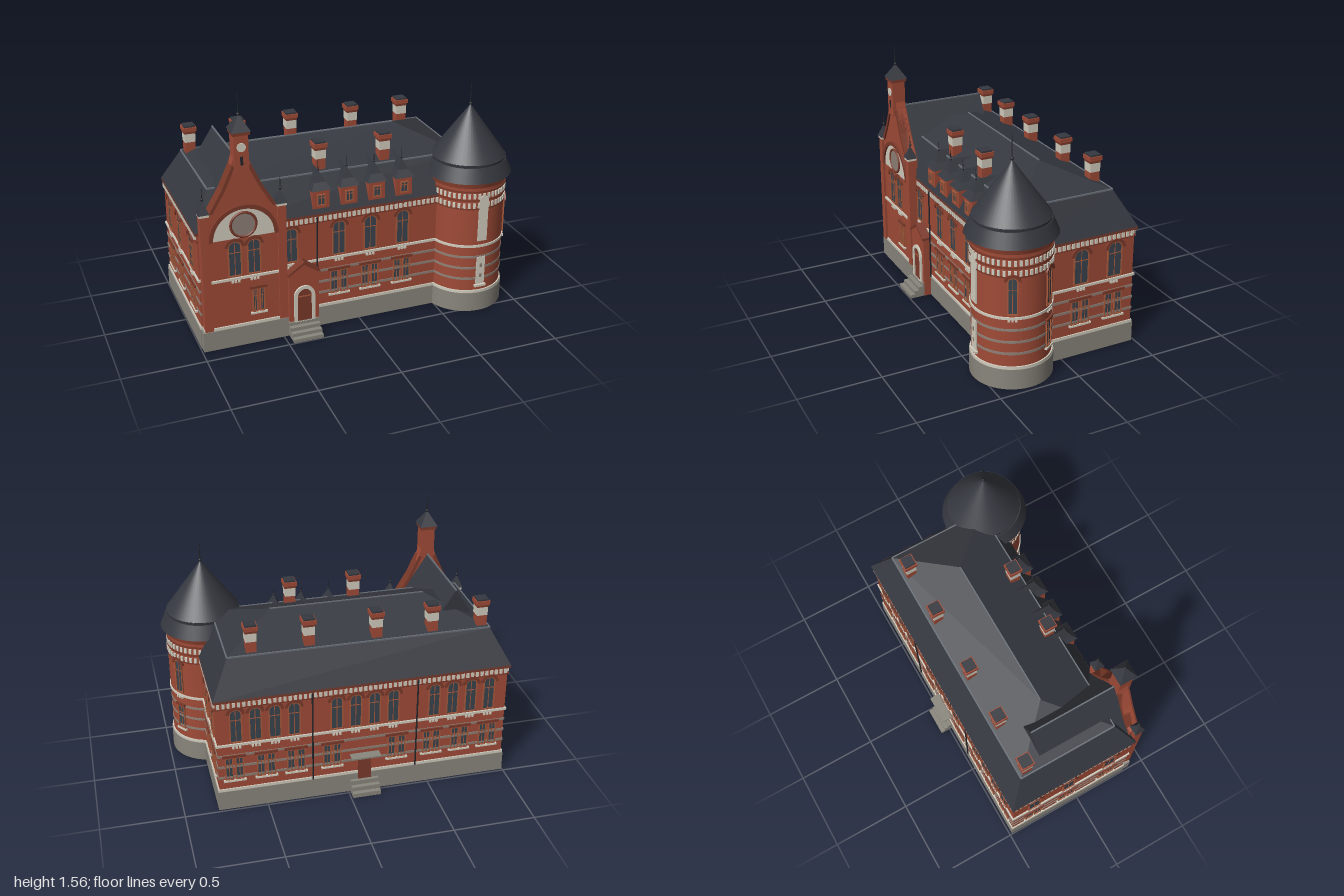
import * as THREE from 'three';
import { mergeGeometries } from 'three/addons/utils/BufferGeometryUtils.js';

const mat = (color, extra = {}) => Object.assign(new THREE.MeshStandardMaterial({ color }), extra);
const BRICK = mat(0xa04b37), DARK = mat(0x7c3a2a), TRIM = mat(0xa85a3c), CREAM = mat(0xd2cdbf);
const STONE = mat(0x8a867d), BAND = mat(0x8f8177), GLASS = mat(0x3a444e), LEAD = mat(0x6a7078);
const ROOF = mat(0x35383f), IRON = mat(0x24262a);
const ROOF_FLAT = mat(0x35383f, { flatShading: true });

function add(parent, name, geometry, material, x = 0, y = 0, z = 0) {
  const m = new THREE.Mesh(geometry, material);
  m.name = name;
  m.position.set(x, y, z);
  parent.add(m);
  return m;
}
function group(parent, name, x = 0, y = 0, z = 0, ry = 0) {
  const g = new THREE.Group();
  g.name = name;
  g.position.set(x, y, z);
  g.rotation.y = ry;
  parent.add(g);
  return g;
}
// box given by its limits on each axis
const box = (parent, name, material, x0, x1, y0, y1, z0, z1) =>
  add(parent, name, new THREE.BoxGeometry(x1 - x0, y1 - y0, z1 - z0), material, (x0 + x1) / 2, (y0 + y1) / 2, (z0 + z1) / 2);
const cyl = (parent, name, material, r0, r1, y0, y1, x = 0, z = 0, n = 48) =>
  add(parent, name, new THREE.CylinderGeometry(r1, r0, y1 - y0, n), material, x, (y0 + y1) / 2, z);
const slab = (parent, name, shape, depth, material, x, y, z) =>
  add(parent, name, new THREE.ExtrudeGeometry(shape, { depth, bevelEnabled: false, curveSegments: 10 }), material, x, y, z);

// hipped roof through rectangles [x0, x1, z0, z1, y]
function hipRoof(parent, name, rings) {
  const pos = [];
  const corners = rings.map(([x0, x1, z0, z1, y]) => [[x0, y, z1], [x1, y, z1], [x1, y, z0], [x0, y, z0]]);
  for (let i = 0; i + 1 < corners.length; i++)
    for (let k = 0; k < 4; k++) {
      const a = corners[i][k], b = corners[i][(k + 1) % 4], c = corners[i + 1][(k + 1) % 4], d = corners[i + 1][k];
      pos.push(...a, ...b, ...c, ...a, ...c, ...d);
    }
  const [p, q, r, s] = corners[0];
  pos.push(...p, ...r, ...q, ...p, ...s, ...r);
  const g = new THREE.BufferGeometry();
  g.setAttribute('position', new THREE.Float32BufferAttribute(pos, 3));
  g.computeVertexNormals();
  return add(parent, name, g, ROOF_FLAT);
}
const pyramid = (parent, name, x, z, half, y0, y1) =>
  hipRoof(parent, name, [[x - half, x + half, z - half, z + half, y0], [x, x, z, z, y1]]);

// opening outline standing on y = 0, with an arched head when rise > 0
function outline(w, h, rise = 0, Type = THREE.Shape, y = 0) {
  const s = new Type();
  s.moveTo(-w / 2, y).lineTo(w / 2, y).lineTo(w / 2, h - rise);
  if (rise) s.absellipse(0, h - rise, w / 2, rise, 0, Math.PI, false);
  else s.lineTo(-w / 2, h);
  s.closePath();
  return s;
}
function ringShape(w, h, rise, t, y = 0) {
  const s = outline(w, h, rise, THREE.Shape, y ? y - t : 0);
  s.holes.push(outline(w - 2 * t, h - t, Math.max(rise - t * 0.6, 0), THREE.Path, y || 0.0001));
  return s;
}
function windowUnit(parent, x, y0, y1, w, rise = 0) {
  const g = group(parent, 'window', x, y0), h = y1 - y0;
  slab(g, 'windowFrame', ringShape(w, h, rise, 0.007, 0.007), 0.009, TRIM, 0, 0, 0);
  slab(g, 'glass', outline(w - 0.01, h - 0.005, rise), 0.003, GLASS, 0, 0, 0);
  box(g, 'mullion', TRIM, -0.002, 0.002, 0, h - 0.004, 0, 0.006);
  box(g, 'transom', TRIM, -w / 2, w / 2, h * 0.66, h * 0.66 + 0.004, 0, 0.006);
  return g;
}
function archedWindow(parent, x, w = 0.085, y0 = 0.46, y1 = 0.685) {
  const g = windowUnit(parent, x, y0, y1, w, w * 0.42), spring = y1 - y0 - w * 0.42;
  const hood = new THREE.Shape().absellipse(0, 0, w / 2 + 0.017, w * 0.42 + 0.018, 0, Math.PI, false);
  hood.absellipse(0, 0, w / 2, w * 0.42, Math.PI, 0, true);
  slab(g, 'archHood', hood, 0.014, DARK, 0, spring, 0);
  for (const i of [-1, 0, 1]) box(g, 'bracket', CREAM, i * 0.02 - 0.006, i * 0.02 + 0.006, -0.04, -0.025, 0, 0.012);
}
function pairedWindow(parent, x, w = 0.05) {
  for (const s of [-1, 1]) windowUnit(parent, x + s * (w / 2 + 0.006), 0.205, 0.36, w);
  box(parent, 'lintel', DARK, x - w - 0.02, x + w + 0.02, 0.36, 0.376, 0, 0.013);
  box(parent, 'sill', CREAM, x - w - 0.018, x + w + 0.018, 0.194, 0.205, 0, 0.015);
}
// row of pale blocks below the eaves
function dentils(parent, x0, x1) {
  const list = [];
  for (let x = x0 + 0.015; x < x1; x += 0.03) list.push(new THREE.BoxGeometry(0.016, 0.032, 0.016).translate(x, 0.716, 0.004));
  add(parent, 'dentils', mergeGeometries(list), CREAM);
}
const pipe = (parent, x) => cyl(parent, 'drainpipe', IRON, 0.005, 0.005, 0.13, 0.73, x, 0.012, 8);
function finial(parent, x, z, y0, y1, r = 0.004) {
  cyl(parent, 'finialRod', IRON, r, r * 0.4, y0, y1, x, z, 8);
  add(parent, 'finialBall', new THREE.SphereGeometry(r * 2.4, 10, 8), IRON, x, y0 + 0.015, z);
}
function steps(parent, name, x0, x1, z0, run, dir, height, n) {
  const g = group(parent, name);
  for (let i = 0; i < n; i++) {
    const end = z0 + dir * run * (n - i) / n;
    box(g, 'step', STONE, x0, x1, height * i / n, height * (i + 1) / n, Math.min(z0, end), Math.max(z0, end));
  }
}

function mainBlock(root) {
  const g = group(root, 'mainBlock');
  const layer = (name, m, y0, y1, o) => box(g, name, m, -0.985 - o, 0.785 + o, y0, y1, -0.475 - o, 0.345 + o);
  layer('plinth', STONE, 0, 0.125, 0.01);
  layer('plinthBand', CREAM, 0.125, 0.142, 0.007);
  layer('walls', BRICK, 0.14, 0.755, 0);
  for (const y of [0.215, 0.288, 0.363]) layer('stoneBand', BAND, y, y + 0.015, 0.004);
  layer('beltCourse', CREAM, 0.437, 0.452, 0.009);
  layer('friezeBand', DARK, 0.69, 0.698, 0.008);
  layer('cornice', DARK, 0.734, 0.755, 0.013);
  hipRoof(g, 'mansardRoof', [[-1, 0.8, -0.49, 0.36, 0.75], [-0.89, 0.69, -0.375, 0.25, 0.965], [-0.57, 0.38, -0.065, -0.065, 1.09]]);
  for (const z of [-0.375, 0.25]) box(g, 'roofFlashing', LEAD, -0.89, 0.69, 0.961, 0.97, z - 0.004, z + 0.004);
  for (const x of [-0.89, 0.69]) box(g, 'roofFlashing', LEAD, x - 0.004, x + 0.004, 0.961, 0.97, -0.375, 0.25);
  box(g, 'ridgeCap', LEAD, -0.57, 0.38, 1.085, 1.094, -0.069, -0.061);
}

function facades(root) {
  const front = group(root, 'frontFacade', 0, 0, 0.345);
  for (const x of [-0.43, -0.13, 0.07, 0.28]) archedWindow(front, x);
  for (const x of [-0.13, 0.07, 0.28]) pairedWindow(front, x);
  dentils(front, -0.47, 0.52);
  pipe(front, -0.27);

  const right = group(root, 'rightFacade', 0.785, 0, 0, Math.PI / 2);
  for (const x of [0.122, 0.345]) { archedWindow(right, x, 0.1); pairedWindow(right, x, 0.054); }
  dentils(right, -0.07, 0.475);

  const left = group(root, 'leftFacade', -0.985, 0, 0, -Math.PI / 2);
  for (const x of [-0.33, -0.09, 0.2]) { archedWindow(left, x); pairedWindow(left, x); }
  dentils(left, -0.475, 0.345);

  const back = group(root, 'backFacade', 0, 0, -0.475, Math.PI);
  for (const c of [-0.5, 0.1, 0.7])
    for (const i of [-1.5, -0.5, 0.5, 1.5]) archedWindow(back, c + i * 0.115, 0.075);
  for (const x of [-0.69, -0.5, -0.32, -0.1, 0.3, 0.52, 0.7, 0.88]) pairedWindow(back, x);
  dentils(back, -0.785, 0.985);
  for (const x of [-0.22, 0.42]) pipe(back, x);
  box(back, 'backDoor', DARK, 0.06, 0.14, 0.08, 0.25, 0, 0.012);
  box(back, 'doorCanopy', STONE, 0.01, 0.19, 0.255, 0.265, 0, 0.06);
  steps(root, 'backSteps', -0.185, -0.012, -0.48, 0.08, -1, 0.085, 3);
}

function gableWing(root) {
  const g = group(root, 'gableWing', -0.725, 0, 0);
  box(g, 'gablePlinth', STONE, -0.265, 0.255, 0, 0.125, 0.3, 0.402);
  box(g, 'gablePlinthBand', CREAM, -0.255, 0.25, 0.125, 0.142, 0.3, 0.398);
  // right half of the gable outline, mirrored for the left half
  const half = [[0.225, 0.14], [0.225, 0.87], [0.195, 0.88], [0.118, 1.01], [0.055, 1.147], [0.04, 1.2]];
  const pts = [...half, ...half.map(([x, y]) => [-x, y]).reverse()].map(p => new THREE.Vector2(...p));
  slab(g, 'gableWall', new THREE.Shape(pts), 0.06, BRICK, 0, 0, 0.33);
  for (const s of [-1, 1]) {
    const edge = half.slice(2, 5);
    const strip = [...edge, ...edge.map(([x, y]) => [x - 0.018, y - 0.008]).reverse()].map(([x, y]) => new THREE.Vector2(s * x, y));
    slab(g, 'gableCoping', new THREE.Shape(strip), 0.075, DARK, 0, 0, 0.325);
    const x = s * 0.2275;
    box(g, 'cornerPier', BRICK, x - 0.025, x + 0.025, 0.13, 0.87, 0.352, 0.405);
    box(g, 'pierCap', CREAM, x - 0.029, x + 0.029, 0.865, 0.88, 0.349, 0.409);
    pyramid(g, 'pierRoof', x, 0.379, 0.033, 0.88, 0.96);
    finial(g, x, 0.379, 0.95, 1.03, 0.0035);
  }
  hipRoof(g, 'gableRoof', [[-0.258, 0.258, -0.22, 0.345, 0.75], [0, 0, -0.22, 0.345, 1.155]]);
  box(g, 'gableRidge', LEAD, -0.004, 0.004, 1.15, 1.159, -0.22, 0.33);

  // bell turret at the peak
  box(g, 'turretShaft', BRICK, -0.042, 0.042, 1.1, 1.335, 0.327, 0.411);
  box(g, 'turretCornice', DARK, -0.05, 0.05, 1.325, 1.345, 0.319, 0.419);
  pyramid(g, 'turretRoof', 0, 0.369, 0.056, 1.345, 1.435);
  finial(g, 0, 0.369, 1.42, 1.56);
  add(g, 'turretDisc', new THREE.CylinderGeometry(0.026, 0.026, 0.008, 24).rotateX(Math.PI / 2), CREAM, 0, 1.255, 0.412);
  box(g, 'turretSlit', IRON, -0.008, 0.008, 1.15, 1.2, 0.405, 0.414);

  const f = group(g, 'gableFace', 0, 0, 0.39);
  const disc = r => new THREE.Shape().absarc(0, 0, r, 0, Math.PI, false);
  slab(f, 'lunettePanel', disc(0.182), 0.005, CREAM, 0, 0.7, 0);
  const arch = new THREE.Shape().absarc(0, 0, 0.205, 0, Math.PI, false);
  arch.absarc(0, 0, 0.182, Math.PI, 0, true);
  slab(f, 'lunetteArch', arch, 0.016, DARK, 0, 0.7, 0);
  add(f, 'roundelFace', new THREE.CylinderGeometry(0.075, 0.075, 0.01, 32).rotateX(Math.PI / 2), BAND, 0, 0.782, 0.004);
  add(f, 'roundelRing', new THREE.TorusGeometry(0.075, 0.008, 8, 32), DARK, 0, 0.782, 0.007);
  box(f, 'gableBelt', CREAM, -0.225, 0.225, 0.437, 0.452, 0, 0.01);
  for (const x of [-0.057, 0.057]) archedWindow(f, x, 0.082);
  pairedWindow(f, 0.077, 0.032);
}

function porch(root) {
  const g = group(root, 'entrancePorch', -0.37, 0, 0.345);
  const s = new THREE.Shape([[-0.092, 0], [0.092, 0], [0.092, 0.4], [0, 0.465], [-0.092, 0.4]].map(p => new THREE.Vector2(...p)));
  slab(g, 'porchWall', s, 0.055, BRICK, 0, 0, 0);
  const cope = new THREE.Shape([[-0.1, 0.395], [0, 0.462], [0.1, 0.395], [0.1, 0.41], [0, 0.48], [-0.1, 0.41]].map(p => new THREE.Vector2(...p)));
  slab(g, 'porchCoping', cope, 0.064, DARK, 0, 0, 0);
  slab(g, 'doorSurround', ringShape(0.13, 0.235, 0.065, 0.02), 0.012, CREAM, 0, 0.088, 0.055);
  slab(g, 'frontDoor', outline(0.095, 0.217, 0.047), 0.004, DARK, 0, 0.088, 0.055);
  box(g, 'doorTransom', TRIM, -0.045, 0.045, 0.25, 0.256, 0.055, 0.063);
  steps(root, 'frontSteps', -0.468, -0.282, 0.38, 0.115, 1, 0.09, 4);
}

function roofFeatures(root) {
  for (const x of [-0.24, -0.065, 0.11, 0.285]) {
    const d = group(root, 'dormer', x);
    box(d, 'dormerWall', BRICK, -0.052, 0.052, 0.78, 0.9, 0.2, 0.347);
    windowUnit(group(d, 'dormerFace', 0, 0, 0.347), 0, 0.798, 0.87, 0.052);
    hipRoof(d, 'dormerRoof', [[-0.062, 0.062, 0.16, 0.36, 0.895], [-0.035, 0.035, 0.155, 0.325, 0.935], [0, 0, 0.15, 0.295, 1.005]]);
    finial(d, 0, 0.295, 0.99, 1.065, 0.003);
  }
  const spots = [-0.845, -0.54, -0.2, 0.205, 0.545].map(x => [x, -0.325]).concat([[-0.2, 0.2], [0.205, 0.2]]);
  for (const [x, z] of spots) {
    const c = group(root, 'chimney', x, 0, z);
    const tier = (name, m, h, y0, y1) => box(c, name, m, -h, h, y0, y1, -h, h);
    tier('chimneyShaft', BRICK, 0.031, 0.9, 1.1);
    tier('chimneyBand', CREAM, 0.033, 1.04, 1.095);
    tier('chimneyCap', DARK, 0.036, 1.095, 1.11);
    tier('chimneyTop', BRICK, 0.041, 1.11, 1.135);
    tier('chimneyLid', ROOF, 0.034, 1.13, 1.145);
  }
}

function tower(root) {
  const t = group(root, 'roundTower', 0.73, 0, 0.295);
  cyl(t, 'towerPlinth', STONE, 0.242, 0.242, 0, 0.125);
  cyl(t, 'towerPlinthBand', CREAM, 0.238, 0.238, 0.125, 0.142);
  cyl(t, 'towerWall', BRICK, 0.23, 0.23, 0.14, 0.85);
  for (const y of [0.215, 0.288, 0.363]) cyl(t, 'towerBand', BAND, 0.233, 0.233, y, y + 0.015);
  cyl(t, 'towerBelt', CREAM, 0.237, 0.237, 0.437, 0.452);
  for (const y of [0.69, 0.745, 0.8]) cyl(t, 'towerString', DARK, 0.236, 0.236, y, y + 0.01);
  cyl(t, 'towerCornice', BRICK, 0.236, 0.252, 0.83, 0.87);
  const blocks = [];
  for (const y of [0.716, 0.777])
    for (let i = 0; i < 48; i++)
      blocks.push(new THREE.BoxGeometry(0.016, 0.032, 0.014).translate(0, y, 0.23).rotateY(i * Math.PI / 24));
  add(t, 'towerDentils', mergeGeometries(blocks), CREAM);
  cyl(t, 'towerRoofSkirt', ROOF, 0.265, 0.228, 0.868, 0.955);
  cyl(t, 'towerRoofLip', ROOF, 0.222, 0.225, 0.953, 0.972);
  cyl(t, 'towerRoofCone', ROOF, 0.225, 0.002, 0.97, 1.28);
  finial(t, 0, 0, 1.27, 1.42);
  // turn angles are measured from the front
  const face = a => group(t, 'towerFace', 0.228 * Math.sin(a), 0, 0.228 * Math.cos(a), a);
  const f = face(0);
  slab(f, 'tallPanel', outline(0.06, 0.3, 0.03), 0.008, CREAM, 0, 0.48, 0);
  slab(f, 'lowPanel', outline(0.055, 0.185), 0.009, CREAM, 0, 0.185, 0);
  box(f, 'panelSill', CREAM, -0.038, 0.038, 0.168, 0.182, 0, 0.018);
  for (const y of [0.23, 0.3]) box(f, 'panelSlot', BAND, -0.007, 0.007, y, y + 0.025, 0, 0.011);
  for (const a of [64, 126]) archedWindow(face(a * Math.PI / 180), 0, 0.06, 0.465, 0.695);
  const low = face(126 * Math.PI / 180);
  windowUnit(low, 0, 0.205, 0.37, 0.06);
  box(low, 'sill', CREAM, -0.04, 0.04, 0.194, 0.205, 0, 0.015);
  box(low, 'lintel', DARK, -0.038, 0.038, 0.37, 0.385, 0, 0.014);
}

export function createModel() {
  const root = new THREE.Group();
  root.name = 'brickHall';
  for (const build of [mainBlock, facades, gableWing, porch, roofFeatures, tower]) build(root);
  return root;
}
